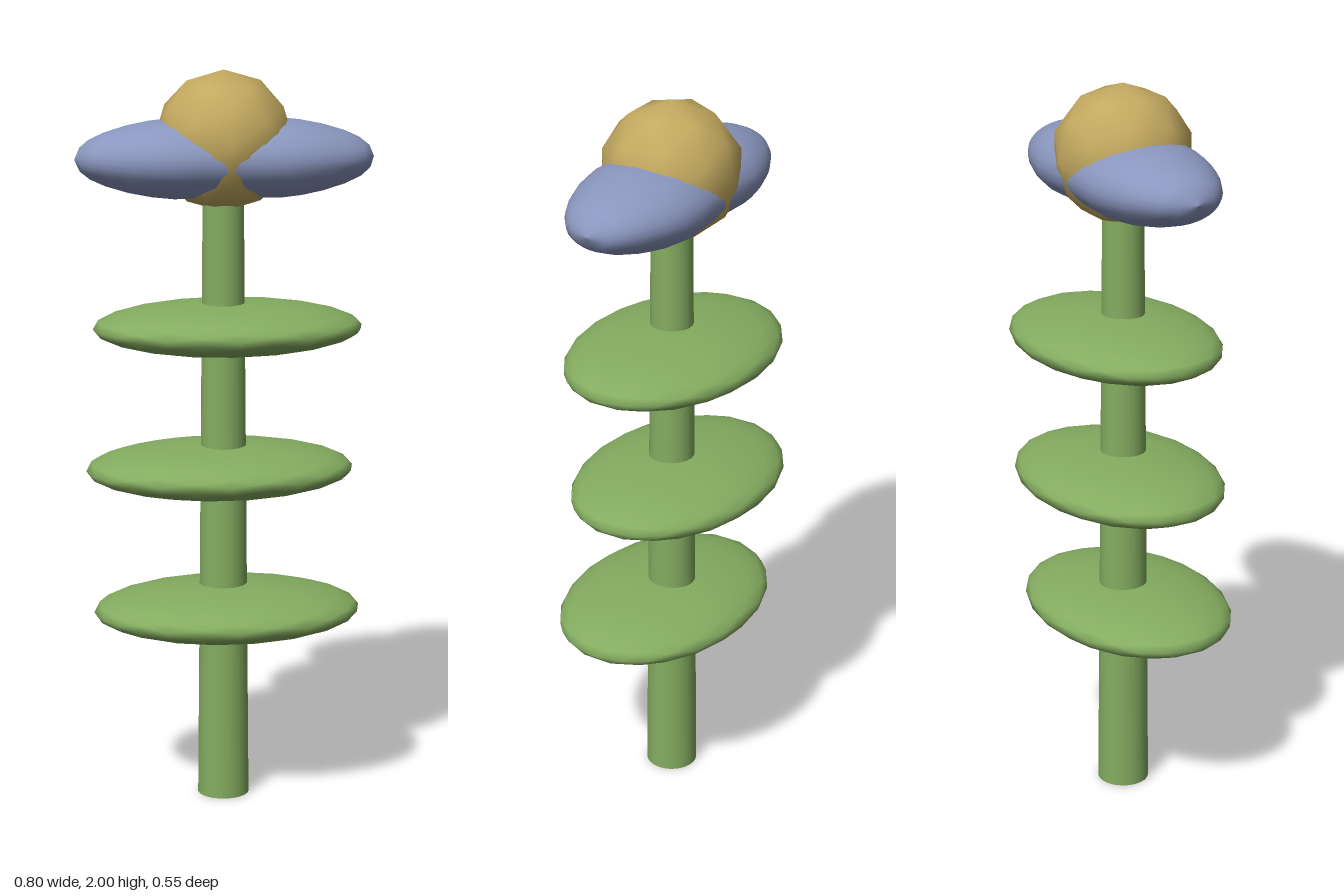
import * as THREE from 'three';

const green = new THREE.MeshStandardMaterial({ color: 0x84ac60 });
const gold = new THREE.MeshStandardMaterial({ color: 0xc4aa60 });
const blue = new THREE.MeshStandardMaterial({ color: 0x8a96be });

export function createModel() {
  const group = new THREE.Group();
  const add = (name, geometry, material, x, y, z) => {
    const mesh = new THREE.Mesh(geometry, material);
    mesh.name = name;
    mesh.position.set(x, y, z);
    group.add(mesh);
  };

  // Tapered stem, running up into the flower centre
  add('stem', new THREE.CylinderGeometry(0.055, 0.071, 1.7, 24), green, -0.005, 0.85, 0);

  // Flat oval leaves, each a little off the stem's axis
  const leaf = new THREE.IcosahedronGeometry(1, 3).scale(0.365, 0.071, 0.26);
  [[0.003, 0.535, 0.018], [-0.012, 0.923, -0.017], [0.01, 1.312, -0.017]].forEach(
    (p, i) => add('leaf' + (i + 1), leaf, green, ...p));

  // Round flower centre
  add('flowerCentre', new THREE.IcosahedronGeometry(0.187, 1), gold, -0.004, 1.813, 0);

  // Pair of petals: a two-lobed spindle across x, mirrored about its waist
  const half = [[0.07, 0.985], [0.14, 1], [0.2, 0.94], [0.26, 0.83],
    [0.32, 0.66], [0.36, 0.49], [0.385, 0.3], [0.4, 0]];
  const profile = [
    ...half.map(([x, r]) => new THREE.Vector2(r, -x)).reverse(),
    new THREE.Vector2(0.965, 0),
    ...half.map(([x, r]) => new THREE.Vector2(r, x)),
  ];
  const petals = new THREE.LatheGeometry(profile, 28)
    .rotateZ(-Math.PI / 2)
    .scale(1, 0.106, 0.176);
  add('petals', petals, blue, 0, 1.768, 0);

  return group;
}
